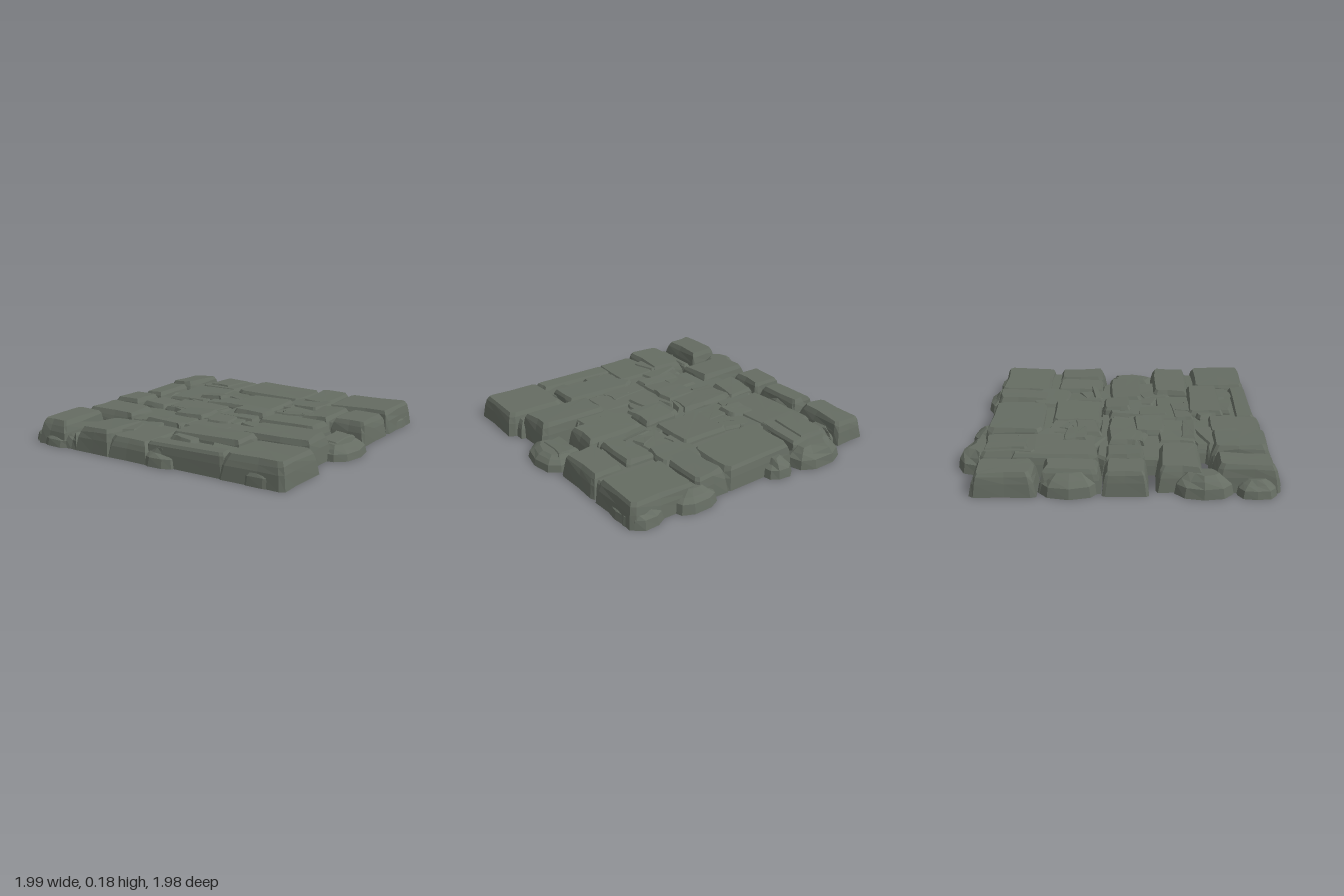
import * as THREE from 'three';

function seeded(seed) {
  return () => {
    seed = (seed * 1664525 + 1013904223) % 4294967296;
    return seed / 4294967296;
  };
}

// Outline of a stone in the unit square: a chipped rectangle or a rough oval
function outline(rounded, rnd) {
  const pts = [];
  if (rounded) {
    for (let i = 0; i < 10; i++) {
      const a = (i / 10) * Math.PI * 2, k = 0.94 + rnd() * 0.1;
      const c = Math.cos(a), s = Math.sin(a);
      pts.push([Math.sign(c) * Math.abs(c) ** 0.8 * k, Math.sign(s) * Math.abs(s) ** 0.8 * k]);
    }
  } else {
    const corners = [[1, -1], [1, 1], [-1, 1], [-1, -1]];
    corners.forEach(([x, z], i) => {
      const [nx, nz] = corners[(i + 1) % 4], [px, pz] = corners[(i + 3) % 4];
      const cut = 0.03 + rnd() * 0.06, cut2 = 0.03 + rnd() * 0.06;
      pts.push([x + (px - x) * cut, z + (pz - z) * cut]);
      pts.push([x + (nx - x) * cut2, z + (nz - z) * cut2]);
      const t = 0.35 + rnd() * 0.3, dent = 1 - rnd() * 0.04;
      pts.push([(x + (nx - x) * t) * dent, (z + (nz - z) * t) * dent]);
    });
  }
  return pts;
}

// Stone lofted from the ground to a slightly tilted, bevelled top
function stoneGeometry(w, d, h, rounded, rnd) {
  const base = outline(rounded, rnd), n = base.length;
  const tiltX = (rnd() - 0.5) * 0.012, tiltZ = (rnd() - 0.5) * 0.012;
  const chips = base.map(() => rnd());
  const levels = rounded
    ? [[0, 0], [0.5, 0.012], [0.82, 0.045], [1, 0.085]]
    : [[0, 0], [0.55, 0.014], [0.88, 0.026], [1, 0.042]];
  const rings = levels.map(([t, inset], k) => base.map(([x, z], i) => {
    const cut = inset * (0.75 + chips[i] * 0.5);
    const px = x * Math.max(w / 2 - cut, w * 0.15), pz = z * Math.max(d / 2 - cut, d * 0.15);
    const chip = k === 2 ? -chips[i] * 0.018 : 0;
    return [px, h * t + chip + t * (x * tiltX + z * tiltZ), pz];
  }));
  const v = [];
  const tri = (a, b, c) => v.push(...a, ...b, ...c);
  for (let i = 0; i < n; i++) {
    const j = (i + 1) % n;
    for (let k = 0; k < 3; k++) {
      const lo = rings[k], hi = rings[k + 1];
      tri(lo[i], hi[i], hi[j]);
      tri(lo[i], hi[j], lo[j]);
    }
    tri([0, h, 0], rings[3][j], rings[3][i]);
    tri([0, 0, 0], rings[0][i], rings[0][j]);
  }
  const g = new THREE.BufferGeometry();
  g.setAttribute('position', new THREE.Float32BufferAttribute(v, 3));
  g.computeVertexNormals();
  return g;
}

export function createModel() {
  const group = new THREE.Group();
  group.name = 'stonePaving';
  const stone = new THREE.MeshStandardMaterial({ color: 0x656c62, flatShading: true });
  stone.name = 'greyGreenStone';
  const rnd = seeded(41);

  const addStone = (name, x0, x1, z0, z1, h, rounded = false, turn = 0) => {
    const mesh = new THREE.Mesh(stoneGeometry(x1 - x0, z1 - z0, h, rounded, rnd), stone);
    mesh.position.set((x0 + x1) / 2, 0, (z0 + z1) / 2);
    mesh.rotation.y = turn;
    mesh.name = name;
    group.add(mesh);
  };

  // A course shares its depth; each stone is [x0, x1, height]
  const addCourse = (name, z0, z1, stones) => stones.forEach(([x0, x1, h], i) =>
    addStone(`${name}${i + 1}`, x0, x1, z0, z1, h));

  addCourse('backStone', -0.87, -0.47,
    [[-0.97, -0.72, 0.15], [-0.68, -0.33, 0.145], [-0.34, 0.24, 0.15], [0.2, 0.46, 0.155], [0.42, 0.92, 0.15]]);
  addCourse('secondStone', -0.46, -0.09,
    [[-0.92, -0.71, 0.15], [-0.36, -0.1, 0.13], [-0.17, 0.24, 0.15], [0.2, 0.46, 0.13], [0.42, 0.67, 0.15], [0.65, 0.92, 0.153]]);
  addCourse('middleStone', -0.09, 0.19,
    [[-0.95, -0.7, 0.15], [-0.71, -0.46, 0.14], [-0.5, -0.06, 0.145], [-0.06, 0.28, 0.148], [0.25, 0.71, 0.15]]);
  addCourse('fourthStone', 0.23, 0.53,
    [[-0.9, -0.48, 0.152], [-0.46, -0.05, 0.127], [-0.1, 0.38, 0.13], [0.34, 0.87, 0.167]]);
  addCourse('frontStone', 0.57, 0.97,
    [[-0.9, -0.65, 0.167], [-0.67, -0.55, 0.1], [-0.58, -0.28, 0.152], [-0.32, 0.02, 0.132]]);
  addCourse('frontRightStone', 0.53, 0.95, [[0.5, 0.95, 0.152]]);
  addCourse('frontSill', 0.77, 0.94, [[-0.05, 0.55, 0.138]]);

  // Slabs that straddle the courses
  addStone('backSlab', -0.64, -0.4, -0.86, -0.52, 0.155);
  addStone('longSlab', -0.7, -0.32, -0.68, -0.1, 0.14);
  addStone('smallSlab', -0.48, -0.24, -0.37, -0.17, 0.155);
  addStone('centreSlab', 0.01, 0.29, -0.12, 0.11, 0.168);
  addStone('innerSlab', -0.34, -0.03, 0.08, 0.33, 0.152);
  addStone('frontSlab', -0.02, 0.52, 0.46, 0.74, 0.16);
  addStone('edgeSlab', 0.72, 0.91, -0.05, 0.23, 0.1);

  // Rounded boulders around the rim: centre x, centre z, width, depth, height
  const addBoulders = (name, boulders) => boulders.forEach(([x, z, w, d, h], i) =>
    addStone(`${name}${i + 1}`, x - w / 2, x + w / 2, z - d / 2, z + d / 2, h, true));

  addBoulders('backBoulder', [[-0.48, -0.85, 0.39, 0.3, 0.12], [-0.17, -0.84, 0.21, 0.24, 0.11],
    [0.46, -0.83, 0.32, 0.23, 0.12], [0.8, -0.78, 0.24, 0.26, 0.11]]);
  addBoulders('leftRimBoulder', [[-0.83, -0.28, 0.32, 0.39, 0.13], [-0.85, 0.51, 0.29, 0.36, 0.12],
    [-0.88, 0.82, 0.22, 0.25, 0.09], [-0.73, -0.7, 0.14, 0.28, 0.09]]);
  addBoulders('rightRimBoulder', [[0.85, 0.11, 0.29, 0.39, 0.09], [0.85, -0.7, 0.15, 0.3, 0.1]]);
  addBoulders('frontBoulder', [[-0.74, 0.89, 0.28, 0.2, 0.09], [0.08, 0.9, 0.26, 0.17, 0.11],
    [0.76, 0.87, 0.28, 0.18, 0.11]]);

  // Bedding that closes the inner joints
  addStone('beddingBack', -0.34, 0.9, -0.8, -0.1, 0.115);
  addStone('beddingMiddle', -0.68, 0.66, -0.15, 0.52, 0.115);
  addStone('beddingFront', -0.5, 0.9, 0.45, 0.93, 0.115);

  // Broken pieces filling the middle
  for (let i = 0; i < 34; i++) {
    const x = -0.42 + rnd() * 0.98, z = -0.55 + rnd() * 1.35;
    const w = 0.08 + rnd() * 0.1, d = 0.06 + rnd() * 0.09;
    addStone(`brokenPiece${i + 1}`, x - w, x + w, z - d, z + d, 0.125 + rnd() * 0.018,
      false, (rnd() - 0.5) * 0.9);
  }
  return group;
}
